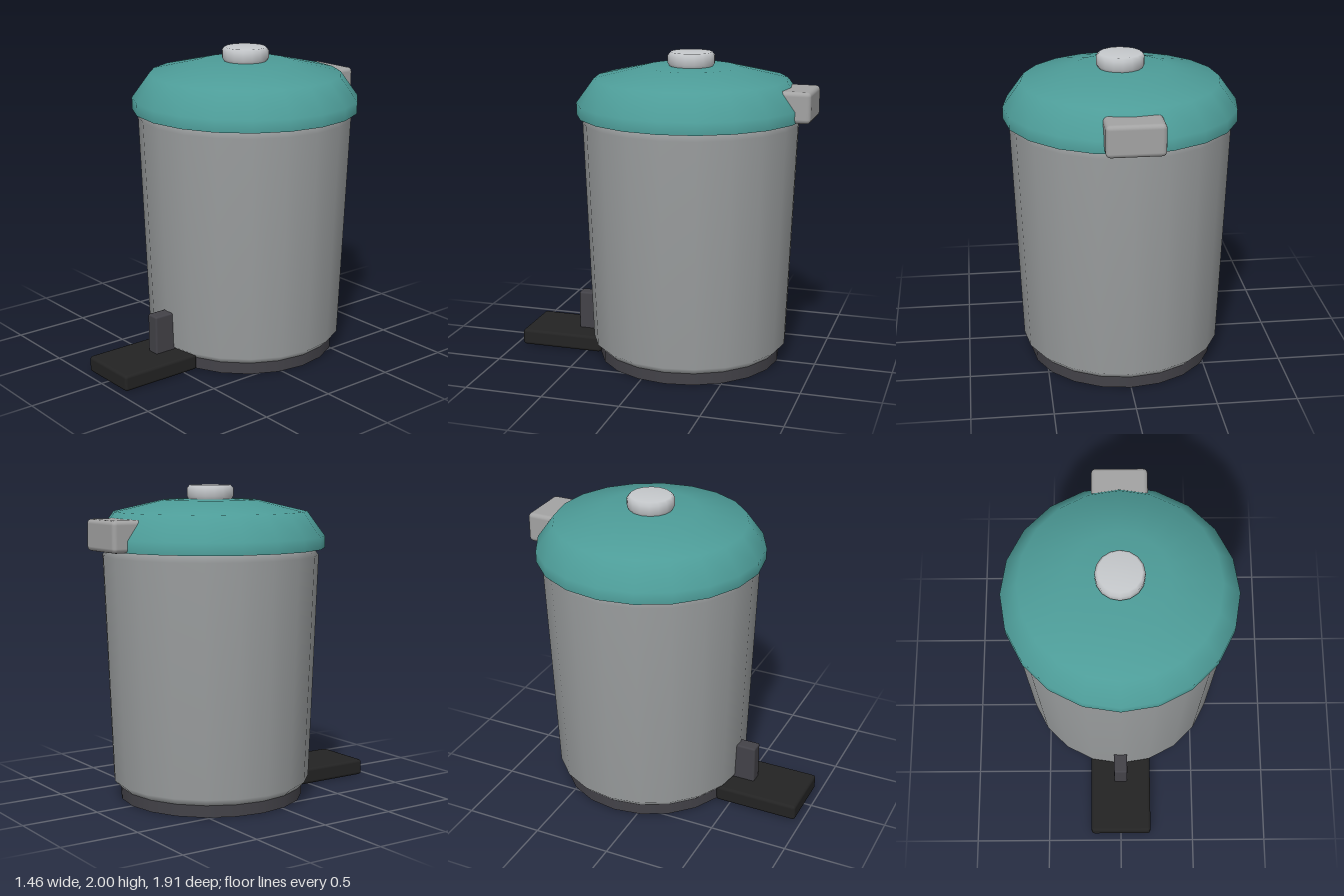
import * as THREE from 'three';
import { RoundedBoxGeometry } from 'three/addons/geometries/RoundedBoxGeometry.js';

const AXIS_Z = -0.16; // centre line of the round parts
const SIDES = 20;

function material(name, color) {
  const m = new THREE.MeshStandardMaterial({ color });
  m.name = name;
  return m;
}

export function createModel() {
  const group = new THREE.Group();
  group.name = 'pedalBin';

  const teal = material('teal lid', 0x4d9c98);
  const grey = material('grey metal', 0x9a9d9e);
  const silver = material('pale silver', 0xc6c9cc);
  const hingeGrey = material('hinge grey', 0xa3a3a3);
  const charcoal = material('charcoal', 0x434248);
  const black = material('black rubber', 0x232323);

  function add(name, geometry, mat, x, y, z) {
    const mesh = new THREE.Mesh(geometry, mat);
    mesh.name = name;
    mesh.position.set(x, y, z);
    group.add(mesh);
    return mesh;
  }

  // Turned part from [radius, height] pairs, bottom to top
  function turned(name, profile, sides, mat) {
    const points = profile.map(([r, y]) => new THREE.Vector2(r, y));
    return add(name, new THREE.LatheGeometry(points, sides), mat, 0, 0, AXIS_Z);
  }

  // Softly bevelled block given by its limits
  function block(name, [x0, x1], [y0, y1], [z0, z1], radius, mat) {
    const geometry = new RoundedBoxGeometry(x1 - x0, y1 - y0, z1 - z0, 2, radius);
    return add(name, geometry, mat, (x0 + x1) / 2, (y0 + y1) / 2, (z0 + z1) / 2);
  }

  // Base ring and tapered body with bevelled rims
  add('base', new THREE.CylinderGeometry(0.59, 0.59, 0.08, SIDES), charcoal, 0, 0.04, AXIS_Z);
  turned('body', [[0.585, 0.07], [0.635, 0.12], [0.69, 1.56], [0.645, 1.61]], SIDES, grey);

  // Domed lid with a flat underside
  turned('lid', [[0.728, 1.605], [0.728, 1.68], [0.615, 1.835], [0.3, 1.908], [0, 1.915]], SIDES, teal);
  const underside = add('lidUnderside', new THREE.CircleGeometry(0.728, SIDES), teal, 0, 1.605, AXIS_Z);
  underside.rotation.x = Math.PI / 2;

  // Knob on top
  turned('knob', [[0.13, 1.9], [0.15, 1.93], [0.15, 1.98], [0.132, 2], [0, 2]], 16, silver);

  // Hinge at the back
  block('hinge', [-0.175, 0.175], [1.605, 1.8], [-0.955, -0.72], 0.028, hingeGrey);

  // Pedal and its upright lever at the front
  block('pedal', [-0.205, 0.205], [0, 0.105], [0.4, 0.955], 0.02, black);
  block('pedalLever', [-0.045, 0.045], [0.08, 0.355], [0.42, 0.605], 0.012, charcoal);

  return group;
}
